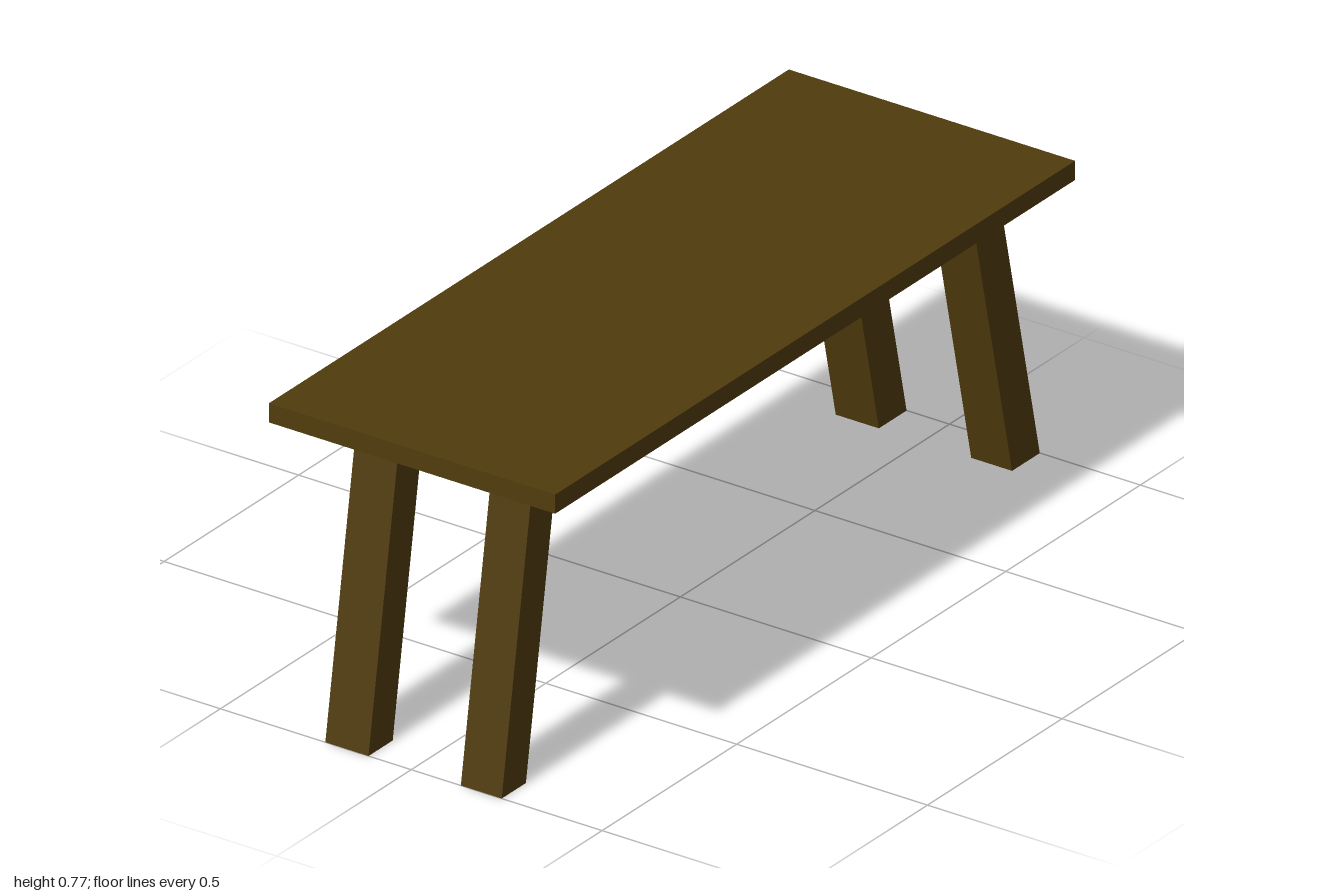
import * as THREE from 'three';

const wood = new THREE.MeshStandardMaterial({ color: 0x503c0d });
wood.name = 'dark wood';

const LEG_TOP = 0.723;

// Slanted post: horizontal ends, sheared in x from foot to tabletop
function makeLeg(name, footX, topX, width, z0, z1) {
  const geo = new THREE.BoxGeometry(width, LEG_TOP, z1 - z0);
  geo.translate(0, LEG_TOP / 2, (z0 + z1) / 2);
  const pos = geo.attributes.position;
  for (let i = 0; i < pos.count; i++) {
    const t = pos.getY(i) / LEG_TOP;
    pos.setX(i, pos.getX(i) + THREE.MathUtils.lerp(footX, topX, t));
  }
  geo.computeVertexNormals();
  const leg = new THREE.Mesh(geo, wood);
  leg.name = name;
  return leg;
}

export function createModel() {
  const table = new THREE.Group();
  table.name = 'table';

  // Tabletop, overhanging further on the right-hand side
  const top = new THREE.Mesh(new THREE.BoxGeometry(1.932, 0.046, 0.75), wood);
  top.name = 'tabletop';
  top.position.set(-0.031, 0.746, 0);
  table.add(top);

  // Two pairs of splayed legs
  const rows = [['front', 0.13, 0.237], ['back', -0.225, -0.112]];
  for (const [row, z0, z1] of rows) {
    table.add(makeLeg(row + 'RightLeg', -0.955, -0.838, 0.09, z0, z1));
    table.add(makeLeg(row + 'LeftLeg', 0.948, 0.788, 0.103, z0, z1));
  }
  return table;
}
